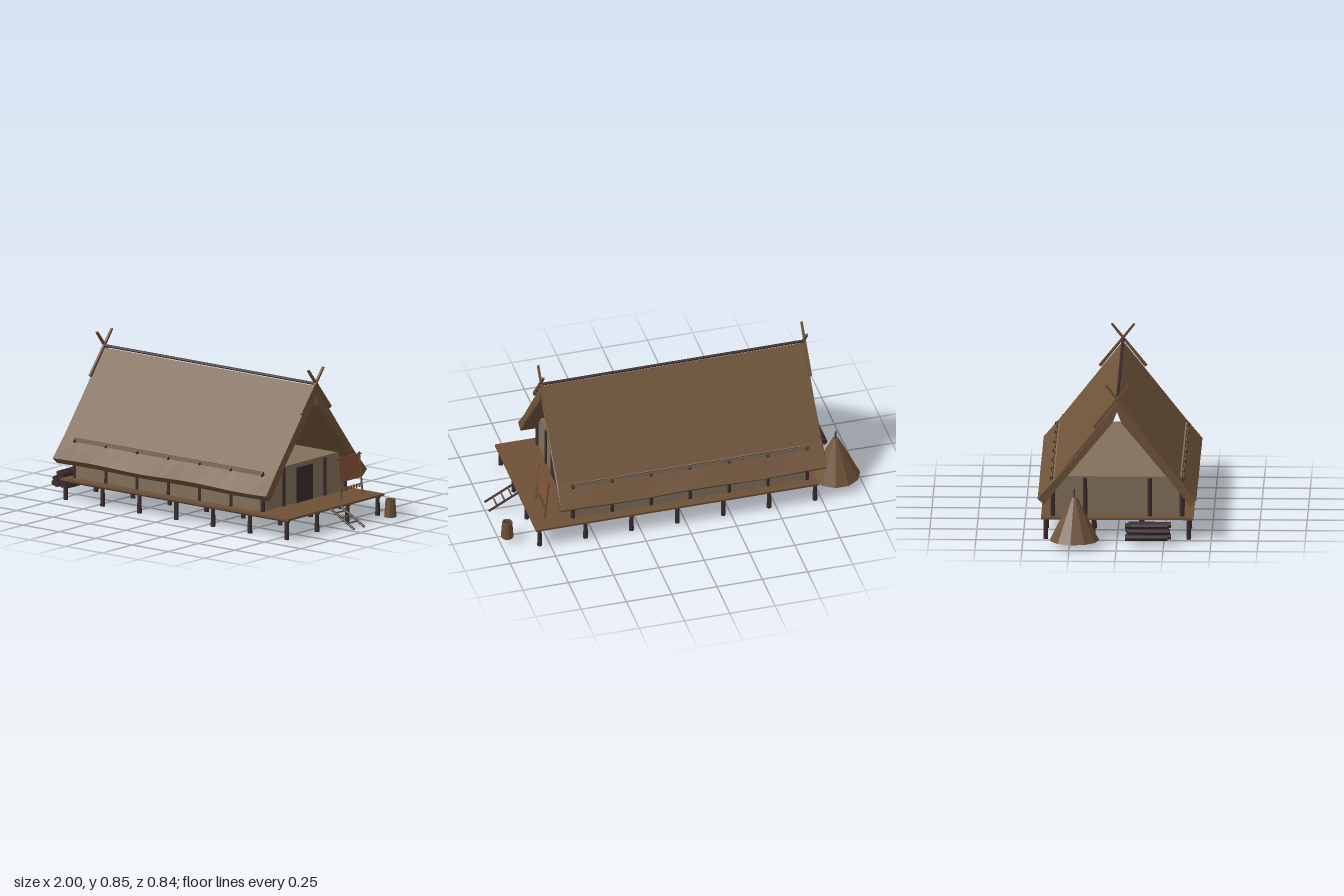
import * as THREE from 'three';

const V = (x, y, z) => new THREE.Vector3(x, y, z);

export function createModel() {
  const root = new THREE.Group();
  root.name = 'stiltLonghouse';

  const material = (name, color) => {
    const m = new THREE.MeshStandardMaterial({ color, flatShading: true });
    m.name = name;
    return m;
  };
  const thatch = material('thatch', 0x70543a);
  const wood = material('wood', 0x6e5036);
  const darkWood = material('dark wood', 0x3b2c2f);
  const poleWood = material('pole wood', 0x4c3828);
  const clay = material('clay wall', 0x82705a);
  const cloth = material('cloth', 0x855236);

  const group = (name) => {
    const g = new THREE.Group();
    g.name = name;
    root.add(g);
    return g;
  };
  const add = (parent, name, geometry, mat) => {
    const mesh = new THREE.Mesh(geometry, mat);
    mesh.name = name;
    parent.add(mesh);
    return mesh;
  };
  const box = (parent, name, mat, [x0, x1], [y0, y1], [z0, z1]) => {
    const g = new THREE.BoxGeometry(x1 - x0, y1 - y0, z1 - z0);
    g.translate((x0 + x1) / 2, (y0 + y1) / 2, (z0 + z1) / 2);
    return add(parent, name, g, mat);
  };
  // Round pole between two points, r0 at the start and r1 at the end
  const pole = (parent, name, mat, a, b, r0, r1 = r0, sides = 7) => {
    const d = b.clone().sub(a);
    const mesh = add(parent, name, new THREE.CylinderGeometry(r1, r0, d.length(), sides), mat);
    mesh.position.copy(a).add(b).multiplyScalar(0.5);
    mesh.quaternion.setFromUnitVectors(V(0, 1, 0), d.normalize());
    return mesh;
  };

  // Deck on rows of piles, with a joist over each row
  const platform = group('platform');
  box(platform, 'deck', wood, [-0.73, 0.83], [0.107, 0.118], [-0.405, 0.405]);
  for (const z of [-0.38, -0.127, 0.127, 0.38]) {
    box(platform, 'joist', darkWood, [-0.725, 0.82], [0.096, 0.107], [z - 0.007, z + 0.007]);
    for (let i = 0; i < 7; i++) {
      const x = -0.715 + i * 0.2533;
      pole(platform, 'pile', darkWood, V(x, 0, z), V(x, 0.107, z), 0.0135, 0.011);
    }
  }

  // Walls with posts along each side and each end
  const house = group('house');
  box(house, 'walls', clay, [-0.68, 0.61], [0.118, 0.333], [-0.35, 0.35]);
  const wallPost = (x, z) => pole(house, 'wallPost', darkWood, V(x, 0.118, z), V(x, 0.325, z), 0.013, 0.012);
  for (const z of [-0.343, 0.343])
    for (let i = 0; i < 7; i++) wallPost(-0.68 + i * 0.215, z);
  for (const x of [-0.68, 0.61])
    for (const z of [-0.172, 0.172]) wallPost(x, z);
  box(house, 'door', darkWood, [0.608, 0.617], [0.118, 0.31], [-0.067, 0.067]);

  // Thatch roof: an A-shaped section swept along x, with slightly uneven eaves
  const roof = group('roof');
  const half = [[0, 0.755], [0.33, 0.338], [0.422, 0.226], [0.387, 0.194], [0.3, 0.308], [0.024, 0.643], [0, 0.705]];
  const section = new THREE.Shape([
    ...half.map(([z, y]) => new THREE.Vector2(z, y)),
    ...half.slice(1, -1).reverse().map(([z, y]) => new THREE.Vector2(-z, y)),
  ]);
  const roofGeo = new THREE.ExtrudeGeometry(section, { depth: 1.455, steps: 12, bevelEnabled: false });
  roofGeo.rotateY(Math.PI / 2).translate(-0.765, 0, 0);
  const p = roofGeo.attributes.position;
  for (let i = 0; i < p.count; i++) {
    const x = p.getX(i);
    const z = p.getZ(i);
    const out = Math.max(0, Math.abs(z) - 0.34) / 0.08;
    p.setY(i, p.getY(i) + out * 0.004 * Math.sin(x * 9 + (z > 0 ? 0 : 2)));
    p.setX(i, x + out * 0.007 * Math.sign(x) * (Math.abs(x) > 0.68 ? 1 : 0));
  }
  roofGeo.computeVertexNormals();
  add(roof, 'thatchRoof', roofGeo, thatch);
  pole(roof, 'ridgePole', darkWood, V(-0.765, 0.766, 0), V(0.69, 0.766, 0), 0.008);

  for (const s of [-1, 1]) {
    // Pole pegged across each slope
    pole(roof, 'roofBatten', poleWood, V(-0.685, 0.33, s * 0.345), V(0.615, 0.33, s * 0.345), 0.005, 0.005, 6);
    for (let i = 0; i < 7; i++) {
      const x = -0.68 + i * 0.215;
      pole(roof, 'battenPeg', poleWood, V(x, 0.31, s * 0.335), V(x, 0.327, s * 0.358), 0.008, 0.007, 6);
    }
    // Crossed tapering boards at both gables
    for (const x of [-0.763, 0.691]) {
      const board = new THREE.Shape([[0.13, 0.624], [0.115, 0.615], [-0.065, 0.846], [-0.056, 0.852]]
        .map(([z, y]) => new THREE.Vector2(-s * z, y)));
      const g = new THREE.ExtrudeGeometry(board, { depth: 0.012, bevelEnabled: false });
      g.rotateY(Math.PI / 2).translate(x - 0.006 + s * 0.002, 0, 0);
      add(roof, 'gableBoard', g, wood);
    }
  }

  // Ladder up to the porch
  const ladder = group('ladder');
  const foot = V(0.99, 0.024, 0);
  const head = V(0.825, 0.114, 0);
  for (const z of [-0.042, 0.042])
    pole(ladder, 'ladderRail', darkWood, V(foot.x, foot.y, z), V(head.x, head.y, z), 0.006, 0.006, 6);
  for (const t of [0.28, 0.54, 0.78]) {
    const c = foot.clone().lerp(head, t);
    pole(ladder, 'rung', wood, V(c.x, c.y, -0.048), V(c.x, c.y, 0.048), 0.0045, 0.0045, 6);
  }

  // Leaning loom with cloth and hanging weights
  const loom = group('loom');
  const leanX = (y) => 0.758 - (y - 0.118) * 0.107;
  for (const z of [-0.135, -0.311])
    pole(loom, 'loomPost', wood, V(leanX(0.118), 0.118, z), V(leanX(0.348), 0.348, z), 0.005, 0.005, 6);
  pole(loom, 'loomBeam', wood, V(leanX(0.338), 0.338, -0.117), V(leanX(0.338), 0.338, -0.325), 0.005, 0.005, 6);
  const web = add(loom, 'cloth', new THREE.BoxGeometry(0.004, 0.122, 0.163), cloth);
  web.position.set(leanX(0.273), 0.273, -0.222);
  web.rotation.z = Math.atan(0.107);
  for (let i = 0; i < 7; i++) {
    const z = -0.147 - i * 0.0247;
    pole(loom, 'loomWeight', wood, V(0.75, 0.162, z), V(0.75, 0.182, z), 0.005, 0.0068, 6);
  }

  // Tapered tub with a recessed dark inside
  const tub = group('tub');
  const tubGeo = new THREE.LatheGeometry([[0, 0.03], [0.034, 0.03], [0.027, 0.126], [0.021, 0.126], [0.021, 0.112]]
    .map(([r, y]) => new THREE.Vector2(r, y)), 10);
  add(tub, 'tubStaves', tubGeo, wood);
  pole(tub, 'tubInside', poleWood, V(0, 0.108, 0), V(0, 0.115, 0), 0.021, 0.021, 10);
  tub.position.set(0.96, 0, -0.297);

  // Haystack around a stake
  const stack = group('haystack');
  pole(stack, 'hay', thatch, V(-0.873, 0.03, -0.224), V(-0.873, 0.262, -0.224), 0.132, 0.016, 11);
  pole(stack, 'stake', poleWood, V(-0.873, 0.25, -0.224), V(-0.873, 0.308, -0.224), 0.005, 0.004, 6);

  // Stacked firewood
  const logs = group('logPile');
  for (let row = 0; row < 3; row++)
    for (let i = 0; i < 4 - row; i++) {
      const x = -0.888 + row * 0.0165 + i * 0.033;
      const y = 0.047 + row * 0.028;
      const shift = (((i * 3 + row * 2) % 4) - 1.5) * 0.006;
      pole(logs, 'log', darkWood, V(x, y, 0.055 + shift), V(x, y, 0.28 + shift), 0.017, 0.016, 8);
    }

  return root;
}
